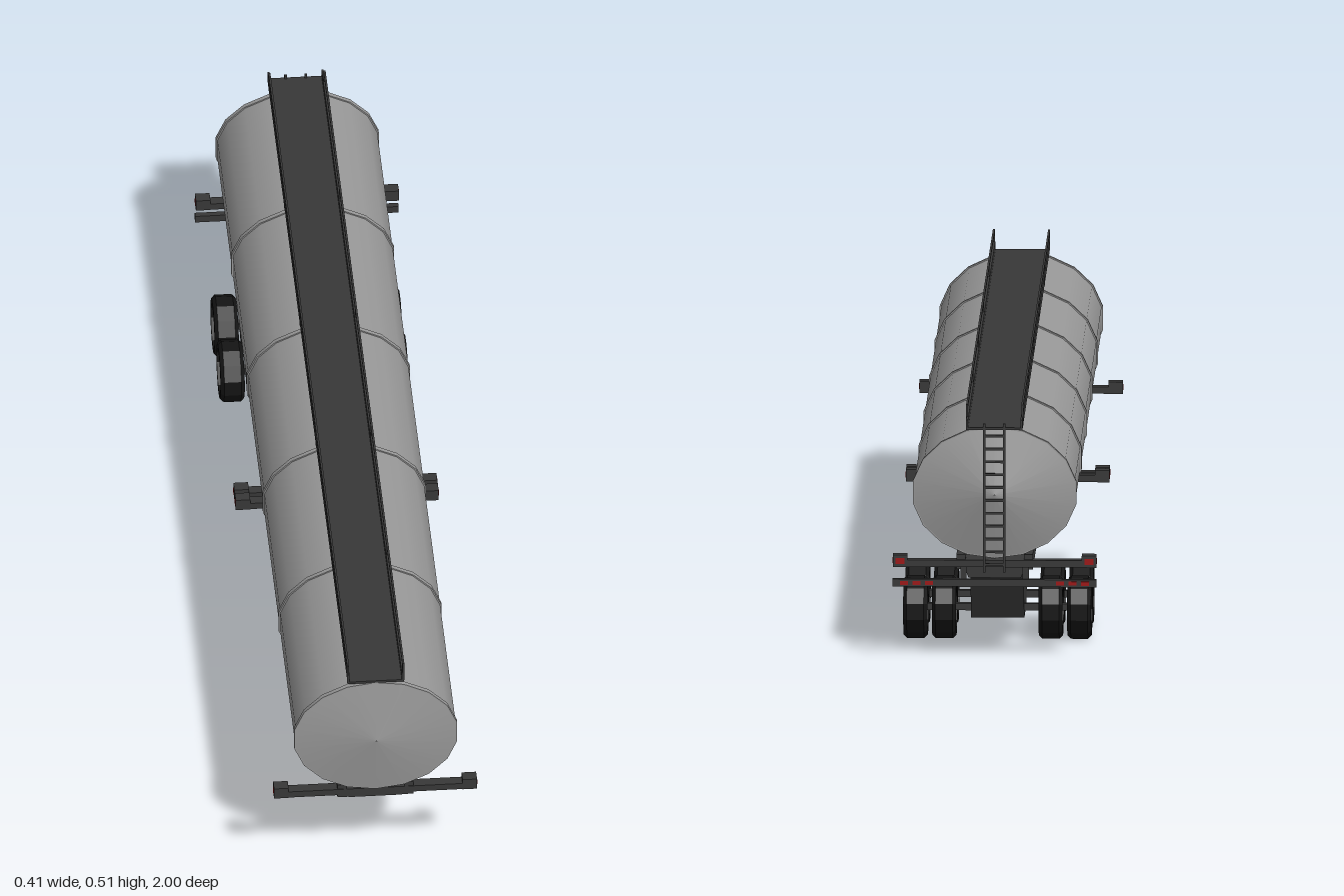
import * as THREE from 'three';

const mat = (color, side = THREE.FrontSide, flatShading = false) =>
  new THREE.MeshStandardMaterial({ color, side, flatShading });
const silver = mat(0x999999);
const dark = mat(0x383838);
const rubber = mat(0x141414, THREE.FrontSide, true);
const hubGrey = mat(0x303030, THREE.FrontSide, true);
const red = mat(0xa01414);

const CY = 0.335; // height of the tank axis

export function createModel() {
  const root = new THREE.Group();

  const add = (name, geo, material, x = 0, y = 0, z = 0, parent = root) => {
    const m = new THREE.Mesh(geo, material);
    m.name = name;
    m.position.set(x, y, z);
    parent.add(m);
    return m;
  };
  const box = (name, w, h, d, x, y, z, material = dark, parent = root) =>
    add(name, new THREE.BoxGeometry(w, h, d), material, x, y, z, parent);

  // Elliptical tube section along z: rA is the radius at the +z end
  const oval = (name, rFront, rBack, zFront, zBack, open) => {
    const g = new THREE.CylinderGeometry(rFront, rBack, zFront - zBack, 18, 1, open);
    g.rotateX(Math.PI / 2);
    g.scale(1, 0.806, 1);
    return add(name, g, silver, 0, CY, (zFront + zBack) / 2);
  };

  // Tank shell, shallow conical ends and reinforcing bands
  oval('tankShell', 0.162, 0.162, 0.98, -0.965, true);
  oval('tankFrontEnd', 0.001, 0.162, 0.998, 0.98, true);
  oval('tankRearEnd', 0.162, 0.001, -0.965, -0.995, true);
  for (const z of [0.975, 0.59, 0.2, -0.19, -0.58, -0.96]) oval('tankBand', 0.165, 0.165, z + 0.005, z - 0.005, false);

  // Roof walkway with raised lips and handrails
  box('walkwayFloor', 0.112, 0.005, 1.98, 0, 0.47, -0.01);
  for (const s of [-1, 1]) {
    box('walkwayLip', 0.004, 0.02, 1.98, s * 0.054, 0.478, -0.01);
    box('handrail', 0.004, 0.005, 1.945, s * 0.055, 0.51, 0.0075);
    for (const z of [0.978, 0.59, 0.2, -0.19, -0.58, -0.963])
      box('handrailPost', 0.004, 0.04, 0.005, s * 0.055, 0.491, z);
  }

  // Chassis: two long rails, a deck between them and a tapering belly
  for (const s of [-1, 1]) box('chassisRail', 0.018, 0.03, 1.94, s * 0.067, 0.195, 0.003);
  box('chassisDeck', 0.12, 0.02, 1.94, 0, 0.19, 0.003);
  const belly = new THREE.BoxGeometry(0.12, 0.02, 1.94);
  const bp = belly.attributes.position;
  for (let i = 0; i < bp.count; i++) {
    if (bp.getY(i) < 0) {
      bp.setX(i, Math.sign(bp.getX(i)) * 0.052);
      if (bp.getZ(i) > 0) bp.setY(i, 0.006);
    }
  }
  belly.computeVertexNormals();
  add('chassisBelly', belly, dark, 0, 0.173, 0.003);

  // Suspension box, tapering downwards
  const side = new THREE.Shape([
    [-0.525, 0.17], [-0.545, 0.12], [-0.585, 0.042],
    [-0.745, 0.042], [-0.785, 0.12], [-0.805, 0.17],
  ].map(([z, y]) => new THREE.Vector2(-z, y)));
  const susp = new THREE.ExtrudeGeometry(side, { depth: 0.106, bevelEnabled: false });
  susp.translate(0, 0, -0.053);
  susp.rotateY(Math.PI / 2);
  add('suspensionBox', susp, dark);

  // Axles with twin wheels on each side
  const tyreGeo = new THREE.LatheGeometry([
    [0.046, -0.015], [0.046, -0.024], [0.056, -0.024], [0.063, -0.017],
    [0.063, 0.017], [0.056, 0.024], [0.046, 0.024], [0.046, 0.015],
  ].map(([r, y]) => new THREE.Vector2(r, y)), 12);
  const hubGeo = new THREE.CylinderGeometry(0.0465, 0.0465, 0.034, 12);
  for (const g of [tyreGeo, hubGeo]) {
    g.rotateY(Math.PI / 12);
    g.rotateZ(Math.PI / 2);
  }
  for (const z of [-0.588, -0.735]) {
    box('axle', 0.34, 0.014, 0.014, 0, 0.063, z);
    for (const x of [-0.163, -0.106, 0.106, 0.163]) {
      const wheel = new THREE.Group();
      wheel.name = 'wheel';
      wheel.position.set(x, 0.062, z);
      add('tyre', tyreGeo, rubber, 0, 0, 0, wheel);
      add('hub', hubGeo, hubGrey, 0, 0, 0, wheel);
      root.add(wheel);
    }
  }

  // Marker bars with lamp blocks on their ends
  for (const z of [0.963, 0.017, -0.017, -0.965]) {
    box('markerBar', 0.4, 0.014, 0.022, 0, 0.193, z);
    for (const s of [-1, 1]) {
      box('lampBlock', 0.029, 0.024, 0.024, s * 0.188, 0.198, z);
      box('sideLamp', 0.002, 0.01, 0.012, s * 0.2025, 0.198, z, red);
      if (z < -0.5) box('rearLamp', 0.018, 0.012, 0.002, s * 0.188, 0.198, z - 0.0125, red);
    }
  }

  // Rear bumper hung under the chassis
  box('rearBumper', 0.406, 0.015, 0.012, 0, 0.154, -0.972);
  for (const s of [-1, 1]) {
    box('bumperBracket', 0.012, 0.04, 0.01, s * 0.062, 0.17, -0.968);
    for (const x of [0.13, 0.155, 0.18])
      box('bumperLamp', 0.016, 0.008, 0.002, s * x, 0.154, -0.9785, red);
  }

  // Rear ladder
  for (const s of [-1, 1]) box('ladderRail', 0.005, 0.3, 0.005, s * 0.02, 0.33, -0.9975);
  for (let i = 0; i < 11; i++) box('ladderRung', 0.04, 0.005, 0.004, 0, 0.195 + i * 0.026, -0.9975);

  return root;
}
